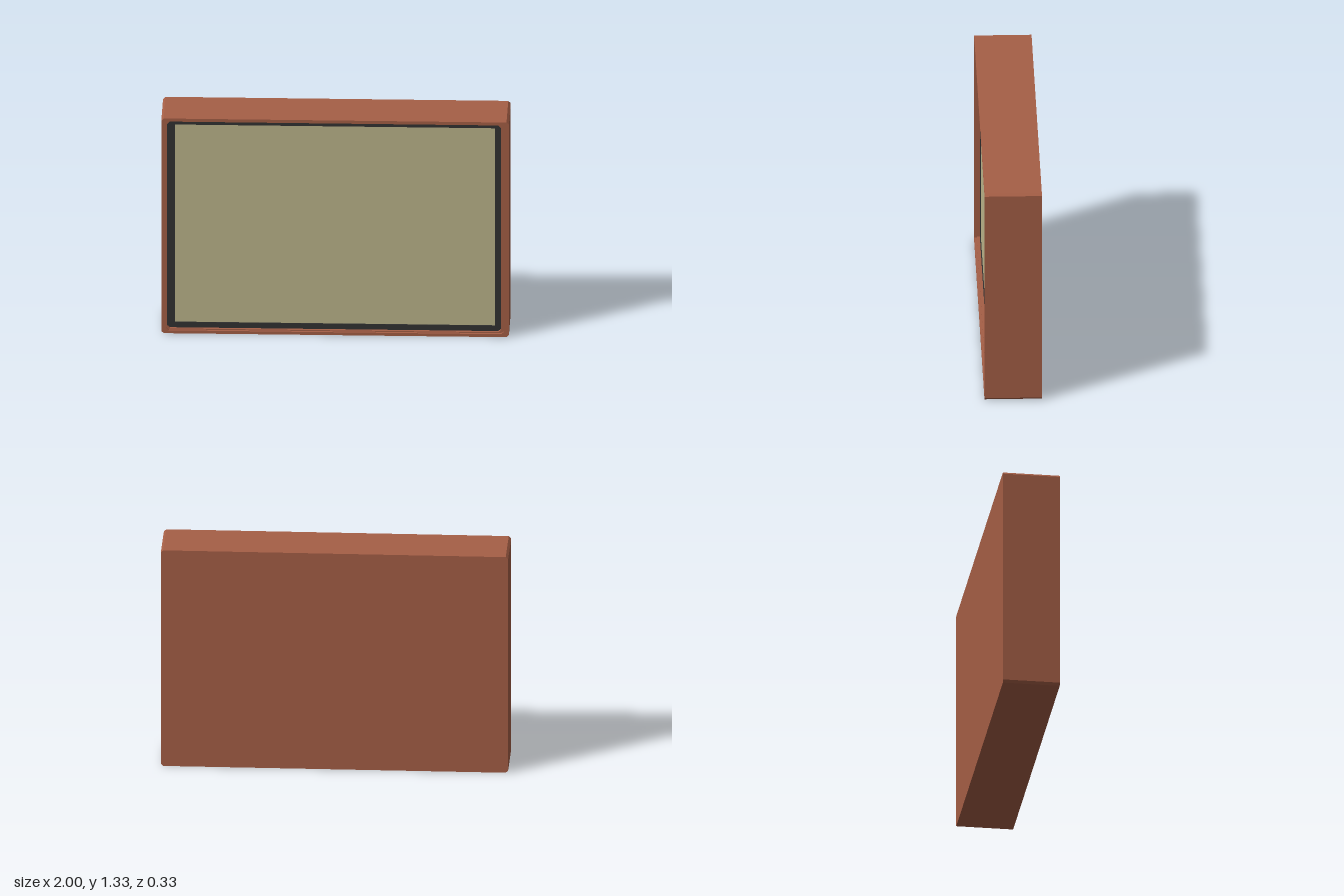
import * as THREE from 'three';

// Rectangle with chamfered corners, as a list of points
function outline(x0, x1, y0, y1, c) {
  return [[x0 + c, y0], [x1 - c, y0], [x1, y0 + c], [x1, y1 - c],
    [x1 - c, y1], [x0 + c, y1], [x0, y1 - c], [x0, y0 + c]]
    .map(([x, y]) => new THREE.Vector2(x, y));
}

// Plate between two depths, with an optional opening
function plate(name, color, outer, hole, z0, z1) {
  const shape = new THREE.Shape(outer);
  if (hole) shape.holes.push(new THREE.Path(hole));
  const geometry = new THREE.ExtrudeGeometry(shape, { depth: z1 - z0, bevelEnabled: false });
  geometry.translate(0, 0, z0);
  const mesh = new THREE.Mesh(geometry, new THREE.MeshStandardMaterial({ color }));
  mesh.name = name;
  return mesh;
}

export function createModel() {
  const group = new THREE.Group();
  group.name = 'framedPanel';
  const red = 0xa65f46, dark = 0x333333, tan = 0xbdb68c;

  const outer = outline(-1, 1, 0, 1.333, 0.014);
  const lipHole = outline(-0.972, 0.97, 0.018, 1.317, 0.015);
  const stepHole = outline(-0.967, 0.953, 0.024, 1.308, 0.015);
  const screenRect = outline(-0.923, 0.92, 0.058, 1.283, 0);

  group.add(
    // Deep case with a stepped lip around the front opening
    plate('caseBody', red, outer, null, -0.165, 0.12),
    plate('innerStep', red, outer, stepHole, 0.12, 0.15),
    plate('frontLip', red, outer, lipHole, 0.15, 0.165),
    // Recessed dark surround and the panel inside it
    plate('surround', dark, stepHole, screenRect, 0.12, 0.132),
    plate('screen', tan, screenRect, null, 0.12, 0.128),
  );
  return group;
}
